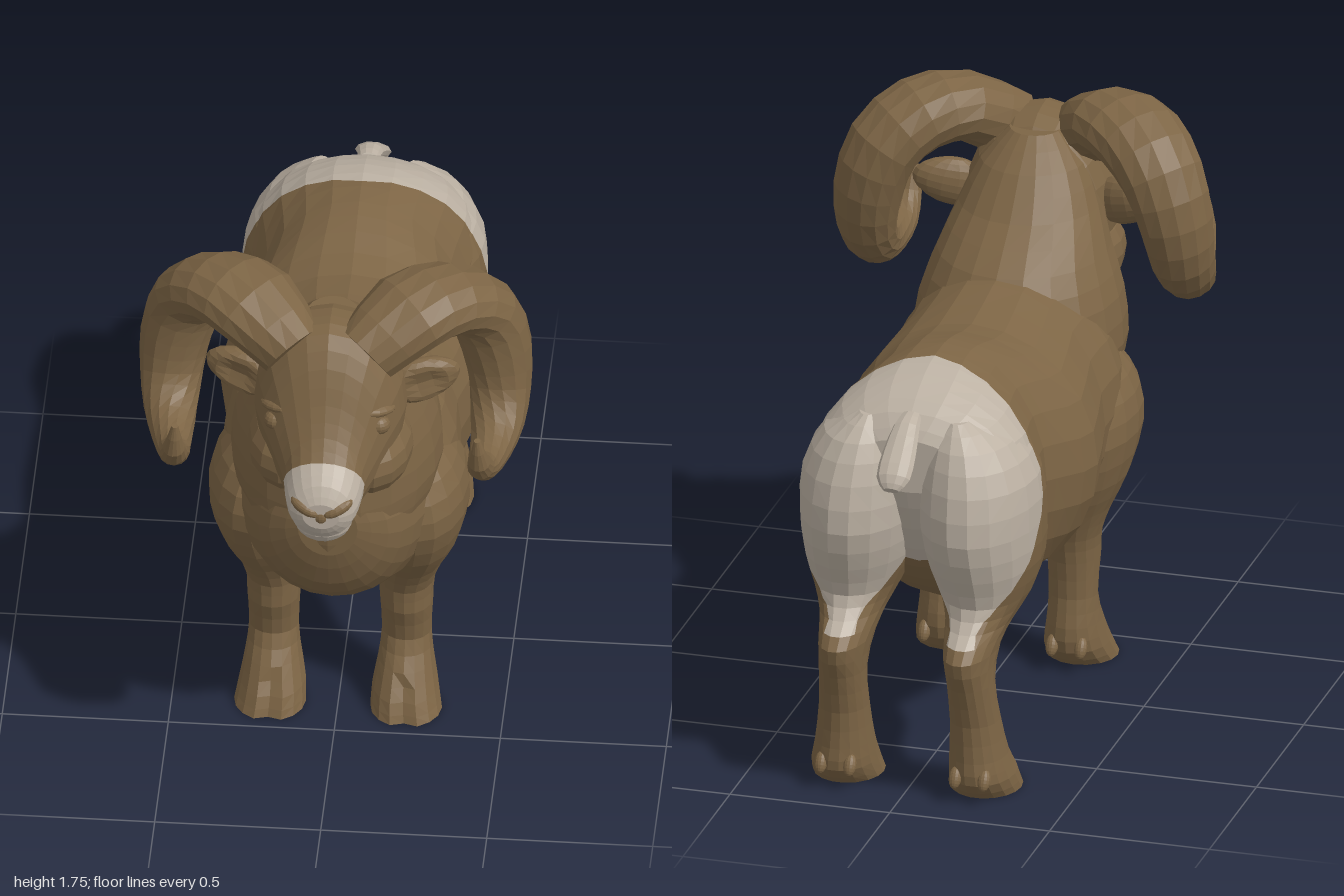
import * as THREE from 'three';

const brown = new THREE.MeshStandardMaterial({ color: 0x7d6545 });
brown.name = 'brown coat';
const pale = new THREE.MeshStandardMaterial({ color: 0xbcb1a3 });
pale.name = 'pale patch';

const V = (x, y, z) => new THREE.Vector3(x, y, z);

// Rows of numbers smoothed with a Catmull-Rom rule, n steps between rows
function smoothRows(rows, n) {
  const out = [];
  for (let i = 0; i < rows.length - 1; i++) {
    const p = [rows[Math.max(i - 1, 0)], rows[i], rows[i + 1], rows[Math.min(i + 2, rows.length - 1)]];
    for (let k = 0; k < n; k++) {
      const t = k / n;
      out.push(rows[i].map((_, c) => {
        const [a, b, d, e] = p.map(r => r[c]);
        return b + 0.5 * t * (d - a + t * (2 * a - 5 * b + 4 * d - e + t * (3 * (b - d) + e - a)));
      }));
    }
  }
  out.push(rows[rows.length - 1]);
  return out;
}

// Closed, faceted skin over rings of points
function loft(rings) {
  const n = rings[0].length, pts = rings.flat(), tris = [];
  for (let i = 0; i < rings.length - 1; i++)
    for (let j = 0; j < n; j++) {
      const a = i * n + j, b = i * n + (j + 1) % n;
      tris.push([a, b, a + n], [b, b + n, a + n]);
    }
  [0, rings.length - 1].forEach((r, end) => {
    const c = pts.length;
    pts.push(rings[r].reduce((s, p) => s.add(p), V(0, 0, 0)).divideScalar(n));
    for (let j = 0; j < n; j++) {
      const a = r * n + j, b = r * n + (j + 1) % n;
      tris.push(end ? [a, b, c] : [b, a, c]);
    }
  });
  // Turn all faces outward
  let volume = 0;
  for (const [a, b, c] of tris) volume += pts[a].dot(V(0, 0, 0).crossVectors(pts[b], pts[c]));
  if (volume < 0) tris.forEach(t => t.reverse());
  return facets(tris.map(t => t.map(i => pts[i])));
}

function facets(triangles) {
  const geo = new THREE.BufferGeometry().setFromPoints(triangles.flat());
  geo.computeVertexNormals();
  return geo;
}

// Loft through ellipses stacked along z: [z, top, bottom, halfWidth]
function loftZ(rows, sides) {
  return loft(smoothRows(rows, 2).map(([z, top, bot, rx]) => Array.from({ length: sides }, (_, j) => {
    const a = j / sides * Math.PI * 2;
    return V(rx * Math.cos(a), (top + bot) / 2 + (top - bot) / 2 * Math.sin(a), z);
  })));
}

// Loft through ellipses stacked along y: [y, centreX, halfWidth, backZ, frontZ]
function loftY(rows, side, sides, toes = false) {
  return loft(smoothRows(rows, 2).map(([y, cx, rx, zb, zf]) => Array.from({ length: sides }, (_, j) => {
    const a = j / sides * Math.PI * 2, s = Math.sin(a);
    const split = toes && y < 0.1 && s > 0.99 ? 0.02 : 0; // notch between the toes
    return V(side * (cx + rx * Math.cos(a)), y, (zb + zf) / 2 + (zf - zb) / 2 * s - split);
  })));
}

// Split a skin where field(p) changes sign: [below zero, above zero]
function cut(geo, field) {
  const pos = geo.getAttribute('position'), halves = [[], []];
  for (let i = 0; i < pos.count; i += 3) {
    const tri = [0, 1, 2].map(k => new THREE.Vector3().fromBufferAttribute(pos, i + k));
    const f = tri.map(field);
    [-1, 1].forEach((sign, h) => {
      const poly = [];
      for (let k = 0; k < 3; k++) {
        const m = (k + 1) % 3;
        if (f[k] * sign >= 0) poly.push(tri[k]);
        if (f[k] * f[m] < 0) poly.push(tri[k].clone().lerp(tri[m], f[k] / (f[k] - f[m])));
      }
      for (let k = 1; k < poly.length - 1; k++) halves[h].push([poly[0], poly[k], poly[k + 1]]);
    });
  }
  return halves.map(facets);
}

// Rump patch edge: z as a function of height, with a point on the spine
const EDGE = [[0.48, -0.95], [0.62, -0.81], [0.79, -0.69], [0.95, -0.6], [1.4, -0.57]];
function rumpField(p) {
  let z = -2;
  for (let i = 0; i < EDGE.length - 1; i++) {
    const [y0, z0] = EDGE[i], [y1, z1] = EDGE[i + 1];
    if (p.y >= y0 && p.y < y1) z = z0 + (z1 - z0) * (p.y - y0) / (y1 - y0);
  }
  return p.z - z - 0.055 * Math.max(0, 1 - Math.abs(p.x) / 0.3);
}
const muzzleField = p => 0.87 + 0.42 * Math.max(0, p.y - 1.2) - p.z;

export function createModel() {
  const model = new THREE.Group();
  model.name = 'ram';
  const add = (name, geo, mat = brown) => {
    const mesh = new THREE.Mesh(geo, mat);
    mesh.name = name;
    model.add(mesh);
    return mesh;
  };
  const addCut = (name, geo, field, paleName) => {
    const [light, dark] = cut(geo, field);
    add(name, dark);
    add(paleName, light, pale);
  };
  const blob = (name, p, r, rot = [0, 0, 0], mat = brown) => {
    const geo = new THREE.SphereGeometry(1, 14, 10).scale(...r).toNonIndexed();
    geo.computeVertexNormals();
    const mesh = add(name, geo, mat);
    mesh.position.set(...p);
    mesh.rotation.set(...rot);
  };

  // Torso
  addCut('torso', loftZ([
    [0.745, 1.04, 0.84, 0.09], [0.7, 1.1, 0.7, 0.18], [0.6, 1.15, 0.58, 0.25], [0.4, 1.24, 0.475, 0.325],
    [0.25, 1.275, 0.45, 0.36], [0.1, 1.275, 0.43, 0.35], [-0.13, 1.24, 0.42, 0.395], [-0.3, 1.275, 0.44, 0.355],
    [-0.42, 1.297, 0.47, 0.32], [-0.57, 1.293, 0.56, 0.35], [-0.68, 1.262, 0.67, 0.345], [-0.77, 1.21, 0.83, 0.285],
    [-0.82, 1.14, 0.97, 0.17]], 24), rumpField, 'rumpPatch');

  // Neck
  add('neck', loftY([
    [0.65, 0, 0.2, 0.08, 0.62], [0.75, 0, 0.25, 0.05, 0.715], [0.88, 0, 0.29, 0.04, 0.75], [1.0, 0, 0.32, 0.03, 0.755],
    [1.15, 0, 0.305, 0.05, 0.745], [1.28, 0, 0.26, 0.13, 0.72], [1.4, 0, 0.215, 0.27, 0.7],
    [1.52, 0, 0.16, 0.37, 0.68], [1.61, 0, 0.08, 0.47, 0.64]], 1, 20));

  // Head with pale muzzle
  addCut('head', loftZ([
    [0.42, 1.5, 1.18, 0.14], [0.52, 1.62, 1.09, 0.21], [0.62, 1.65, 1.05, 0.23], [0.7, 1.64, 1.04, 0.218],
    [0.77, 1.56, 1.045, 0.182], [0.82, 1.46, 1.05, 0.15], [0.87, 1.375, 1.06, 0.123], [0.92, 1.318, 1.07, 0.114],
    [0.97, 1.27, 1.08, 0.095], [0.998, 1.22, 1.13, 0.055]], 20), muzzleField, 'muzzle');
  blob('chin', [0, 1.1, 0.9], [0.088, 0.07, 0.075], [0, 0, 0], pale);
  blob('noseBridge', [0, 1.168, 0.985], [0.024, 0.026, 0.018]);

  // Tail
  add('tail', loft(smoothRows([
    [1.2, -0.76, 0.03, 0.02], [1.185, -0.82, 0.04, 0.025], [1.13, -0.9, 0.052, 0.025],
    [1.075, -0.965, 0.052, 0.024], [1.045, -0.99, 0.025, 0.012]], 2).map(([y, z, rx, r]) =>
    Array.from({ length: 10 }, (_, j) => {
      const a = j / 10 * Math.PI * 2, s = r * Math.sin(a);
      return V(rx * Math.cos(a), y + s * 0.8, z - s * 0.6);
    }))), pale);

  for (const s of [1, -1]) {
    const label = s > 0 ? 'left' : 'right';

    // Foreleg with shoulder
    add(label + 'Foreleg', loftY([
      [1.05, 0.2, 0.05, 0.24, 0.38], [0.98, 0.215, 0.11, 0.16, 0.48], [0.88, 0.24, 0.14, 0.09, 0.545],
      [0.76, 0.25, 0.143, 0.065, 0.55], [0.62, 0.235, 0.125, 0.095, 0.49], [0.52, 0.215, 0.1, 0.135, 0.42],
      [0.43, 0.2, 0.085, 0.17, 0.375], [0.35, 0.2, 0.08, 0.19, 0.37], [0.23, 0.2, 0.075, 0.2, 0.34],
      [0.14, 0.2, 0.085, 0.185, 0.39], [0.06, 0.2, 0.1, 0.19, 0.445], [0, 0.205, 0.108, 0.25, 0.47]], s, 16, true));

    // Hind leg with thigh
    addCut(label + 'HindLeg', loftY([
      [1.19, 0.14, 0.04, -0.78, -0.58], [1.12, 0.165, 0.13, -0.85, -0.47], [1.0, 0.182, 0.178, -0.905, -0.4],
      [0.85, 0.187, 0.183, -0.925, -0.355], [0.72, 0.195, 0.168, -0.885, -0.37], [0.62, 0.2, 0.135, -0.845, -0.43],
      [0.55, 0.197, 0.1, -0.88, -0.515], [0.48, 0.195, 0.078, -0.955, -0.625], [0.38, 0.2, 0.07, -0.92, -0.715],
      [0.25, 0.205, 0.075, -0.88, -0.695], [0.13, 0.21, 0.088, -0.875, -0.65], [0.06, 0.215, 0.1, -0.875, -0.6],
      [0, 0.215, 0.108, -0.82, -0.575]], s, 18, true), rumpField, label + 'ThighPatch');

    // Dewclaws
    for (const [x, z] of [[0.2, 0.195], [0.21, -0.865]])
      for (const d of [-0.045, 0.045]) blob('dewclaw', [s * (x + d), 0.08, z], [0.02, 0.035, 0.018], [0.5, 0, 0]);

    // Curled horn: centre line, radius in the curl, half width across the curl
    const horn = smoothRows([
      [0.11, 1.55, 0.67, 0.11, 0.1], [0.23, 1.64, 0.575, 0.105, 0.145], [0.345, 1.635, 0.485, 0.103, 0.143],
      [0.437, 1.55, 0.415, 0.103, 0.13], [0.482, 1.41, 0.405, 0.1, 0.115], [0.495, 1.28, 0.435, 0.086, 0.098],
      [0.492, 1.2, 0.51, 0.075, 0.083], [0.48, 1.172, 0.61, 0.062, 0.064], [0.465, 1.185, 0.715, 0.047, 0.048],
      [0.46, 1.25, 0.785, 0.033, 0.033], [0.455, 1.345, 0.805, 0.01, 0.01]], 2);
    add(label + 'Horn', loft(horn.map(([x, y, z, r, wide], i) => {
      const a = horn[Math.max(i - 1, 0)], b = horn[Math.min(i + 1, horn.length - 1)];
      const dir = V(b[0] - a[0], b[1] - a[1], b[2] - a[2]).normalize();
      const axis = V(0.8, 0, 0.6);
      const u = axis.clone().addScaledVector(dir, -dir.dot(axis)).normalize();
      const w = dir.clone().cross(u);
      return Array.from({ length: 14 }, (_, j) => {
        const t = j / 14 * Math.PI * 2;
        const p = V(x, y, z).addScaledVector(u, wide * Math.cos(t)).addScaledVector(w, r * Math.sin(t));
        p.x *= s;
        return p;
      });
    })));

    // Ear, cupped on its front face
    const ear = new THREE.SphereGeometry(1, 14, 10).toNonIndexed();
    const q = ear.getAttribute('position');
    for (let i = 0; i < q.count; i++) {
      const x = q.getX(i), y = q.getY(i), z = q.getZ(i);
      const cup = z > 0 ? z - 1.1 * Math.max(0, 0.75 - Math.hypot(x, y)) : z;
      q.setXYZ(i, x * 0.115, y * 0.075 * (1 - 0.15 * x * s), cup * 0.045);
    }
    ear.computeVertexNormals();
    const earMesh = add(label + 'Ear', ear);
    earMesh.position.set(s * 0.275, 1.393, 0.57);
    earMesh.rotation.set(0, s * 0.3, s * 0.22);

    // Eye, brow, cheek and nostril
    blob(label + 'Eye', [s * 0.155, 1.36, 0.765], [0.036, 0.032, 0.034]);
    blob(label + 'Brow', [s * 0.15, 1.405, 0.75], [0.065, 0.02, 0.035], [0, s * 0.7, s * -0.2]);
    blob(label + 'Cheek', [s * 0.115, 1.19, 0.63], [0.135, 0.135, 0.19]);
    blob(label + 'Nostril', [s * 0.05, 1.196, 0.978], [0.05, 0.021, 0.024], [0, s * 0.4, s * 0.4]);
  }
  return model;
}
